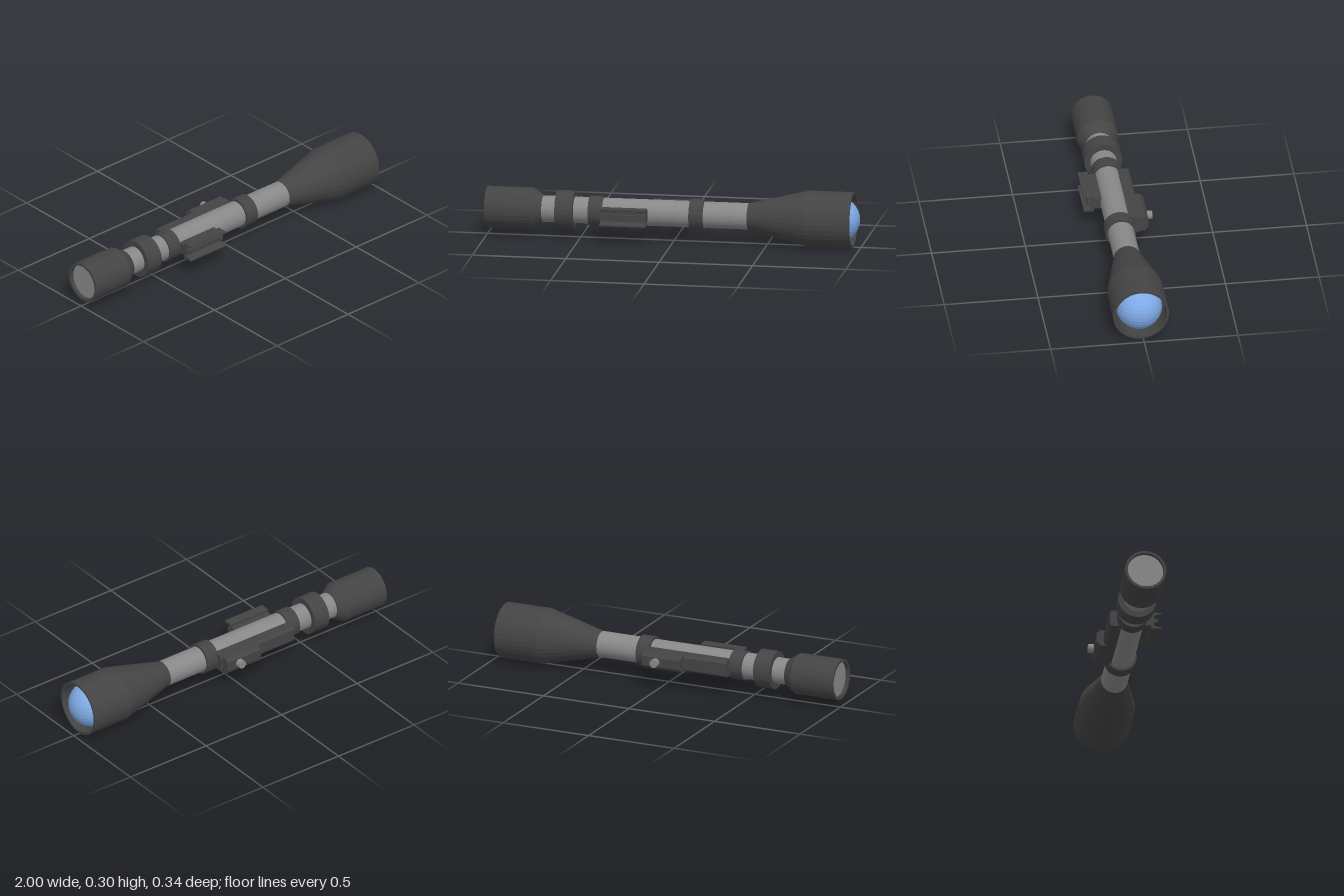
import * as THREE from 'three';

const AXIS_Y = 0.151, AXIS_Z = 0.012, SIDES = 32;
const material = (color) => new THREE.MeshStandardMaterial({ color, flatShading: true });

export function createModel() {
  const model = new THREE.Group();
  const dark = material(0x444444), metal = material(0x888888), glass = material(0x7faae6);

  const add = (name, geometry, mat) => {
    const mesh = new THREE.Mesh(geometry, mat);
    mesh.name = name;
    model.add(mesh);
    return mesh;
  };

  // Turned part along the optical axis, from [x, radius] pairs
  const turned = (name, profile, mat) => {
    const points = profile.map(([x, r]) => new THREE.Vector2(r, x));
    const mesh = add(name, new THREE.LatheGeometry(points, SIDES), mat);
    mesh.rotation.z = -Math.PI / 2;
    mesh.position.set(0, AXIS_Y, AXIS_Z);
    return mesh;
  };

  // Bar along x, from a [z, y] outline measured from the optical axis
  const bar = (name, x0, x1, outline, mat) => {
    const shape = new THREE.Shape(outline.map(([z, y]) => new THREE.Vector2(-z, y)));
    const geometry = new THREE.ExtrudeGeometry(shape, { depth: x1 - x0, bevelEnabled: false });
    geometry.rotateY(Math.PI / 2);
    const mesh = add(name, geometry, mat);
    mesh.position.set(x0, AXIS_Y, AXIS_Z);
    return mesh;
  };

  // Main tube
  turned('mainTube', [[-0.74, 0], [-0.74, 0.07], [0.42, 0.07], [0.42, 0]], metal);

  // Objective bell with a recessed front
  turned('objectiveBell', [[0.4, 0], [0.4, 0.07], [0.72, 0.149], [0.962, 0.149],
    [0.962, 0.137], [0.875, 0.137], [0.875, 0]], dark);
  const lens = add('objectiveLens', new THREE.SphereGeometry(0.122, 32, 16), glass);
  lens.position.set(0.874, AXIS_Y, AXIS_Z);

  // Eyepiece, open at the rear with a flat lens just inside
  turned('eyepiece', [[-0.975, 0], [-0.975, 0.096], [-1, 0.096], [-1, 0.11],
    [-0.755, 0.11], [-0.7, 0.075], [-0.7, 0]], dark);
  turned('eyepieceLens', [[-0.98, 0], [-0.98, 0.0955], [-0.974, 0.0955], [-0.974, 0]], metal);

  // Zoom ring and the two clamp rings
  const rings = [['zoomRing', -0.625, -0.53, 0.102], ['rearClampRing', -0.45, -0.375, 0.079],
    ['frontClampRing', 0.09, 0.165, 0.083]];
  for (const [name, x0, x1, r] of rings) {
    turned(name, [[x0, 0], [x0, r], [x1, r], [x1, 0]], dark);
  }

  // Accessory rail: a neck, a back plate, two thin lips and a middle rib
  const half = [[0.05, 0.03], [0.105, 0.03], [0.105, 0.046], [0.158, 0.046],
    [0.158, 0.039], [0.12, 0.028], [0.12, 0.011], [0.138, 0.011]];
  const railOutline = [...half, ...half.map(([z, y]) => [z, -y]).reverse()];
  bar('accessoryRail', -0.375, -0.13, railOutline, dark);

  // Mounting strip and adjuster housing on the back, with chamfered edges
  const chamfered = (z, h, c) => [[-0.03, h], [z + c, h], [z, h - c], [z, c - h], [z + c, -h], [-0.03, -h]];
  bar('mountingStrip', -0.38, 0.1, chamfered(-0.117, 0.045, 0.012), dark);
  bar('adjusterHousing', -0.13, 0.09, chamfered(-0.157, 0.045, 0.02), dark);

  // Adjuster knob
  const knob = add('adjusterKnob', new THREE.CylinderGeometry(0.023, 0.023, 0.05, 16), metal);
  knob.rotation.x = Math.PI / 2;
  knob.position.set(0.012, AXIS_Y, -0.149);

  return model;
}
